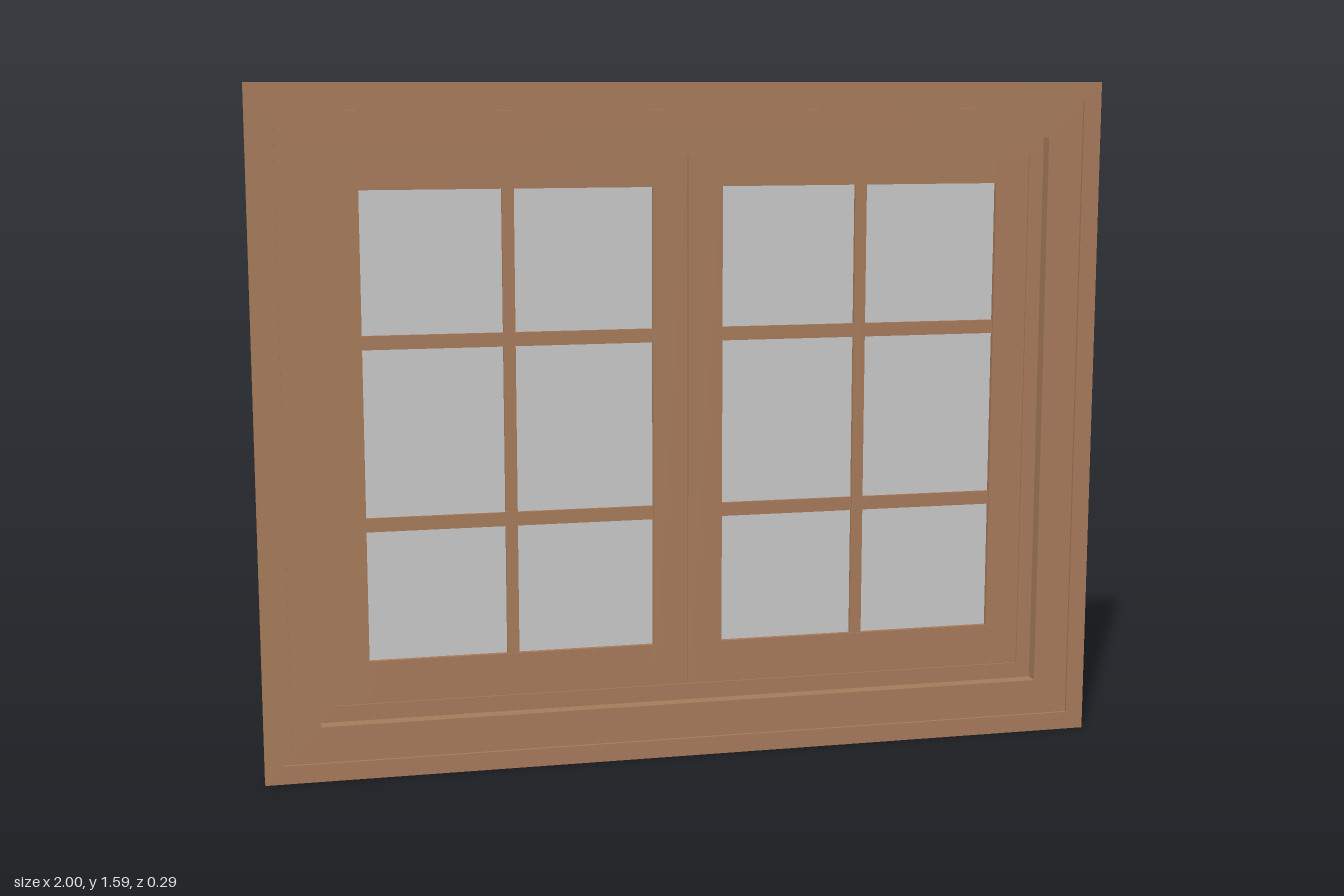
import * as THREE from 'three';

const wood = new THREE.MeshStandardMaterial({ color: 0xa67a5a });
wood.name = 'wood';
const glass = new THREE.MeshStandardMaterial({ color: 0xc8c8c8 });
glass.name = 'glass';

const MID = 0.795; // height of the window's centre

// Mitred rectangular frame: sweeps a closed [inset, z] profile round a rectangle
function frame(name, halfW, halfH, profile) {
  const signs = [[-1, -1], [1, -1], [1, 1], [-1, 1]];
  const at = (k, i) => {
    const [sx, sy] = signs[k % 4];
    const [inset, z] = profile[i % profile.length];
    return [sx * (halfW - inset), sy * (halfH - inset), z];
  };
  const pos = [];
  for (let i = 0; i < profile.length; i++) {
    for (let k = 0; k < 4; k++) {
      const a = at(k, i), b = at(k + 1, i), c = at(k + 1, i + 1), d = at(k, i + 1);
      pos.push(...a, ...b, ...c, ...a, ...c, ...d);
    }
  }
  const geo = new THREE.BufferGeometry();
  geo.setAttribute('position', new THREE.Float32BufferAttribute(pos, 3));
  geo.computeVertexNormals();
  const mesh = new THREE.Mesh(geo, wood);
  mesh.name = name;
  mesh.position.y = MID;
  return mesh;
}

// Box given by its limits
function bar(name, x0, x1, y0, y1, z0, z1, material = wood) {
  const mesh = new THREE.Mesh(new THREE.BoxGeometry(x1 - x0, y1 - y0, z1 - z0), material);
  mesh.position.set((x0 + x1) / 2, (y0 + y1) / 2, (z0 + z1) / 2);
  mesh.name = name;
  return mesh;
}

// Flat casing with a shallow groove near its outer edge
const casingProfile = (width) => [
  [0, 0.112], [0, 0.147], [0.043, 0.147], [0.043, 0.14],
  [0.062, 0.14], [0.062, 0.147], [width, 0.147], [width, 0.112],
];

// One sash, from the outer stile at x0 to the meeting stile at x1
function sash(name, x0, x1) {
  const group = new THREE.Group();
  group.name = name;
  const bottom = 0.168, top = 1.426, stile = 0.082;
  const zb = 0.08, zf = 0.11;
  const in0 = x0 + stile, in1 = x1 - stile, mid = (in0 + in1) / 2;
  const sill = 0.268, head = 1.352;
  group.add(
    bar('outerStile', x0, in0, bottom, top, zb, zf),
    bar('innerStile', in1, x1, bottom, top, zb, zf),
    bar('bottomRail', in0, in1, bottom, sill, zb, zf),
    bar('topRail', in0, in1, head, top, zb, zf),
    bar('pane', in0, in1, sill, head, 0.092, 0.098, glass),
    bar('verticalMuntin', mid - 0.014, mid + 0.014, sill, head, 0.083, 0.107),
  );
  // Glazing bars across the panes
  for (const y of [0.588, 1.008]) {
    group.add(bar('horizontalMuntin', in0, in1, y - 0.016, y + 0.016, 0.084, 0.106));
  }
  return group;
}

export function createModel() {
  const model = new THREE.Group();
  model.name = 'window';

  // Casings on both faces of the wall
  model.add(frame('frontCasing', 1, 0.795, casingProfile(0.13)));
  const back = frame('backCasing', 0.97, 0.765, casingProfile(0.12));
  back.rotation.y = Math.PI;
  model.add(back);

  // Deep jamb box joining the two casings
  model.add(frame('jamb', 0.88, 0.672, [
    [0, -0.114], [0, 0.114], [0.045, 0.114], [0.045, -0.114],
  ]));

  // Pair of sashes meeting in the middle
  model.add(sash('rightSash', -0.836, -0.001), sash('leftSash', 0.001, 0.836));
  return model;
}
